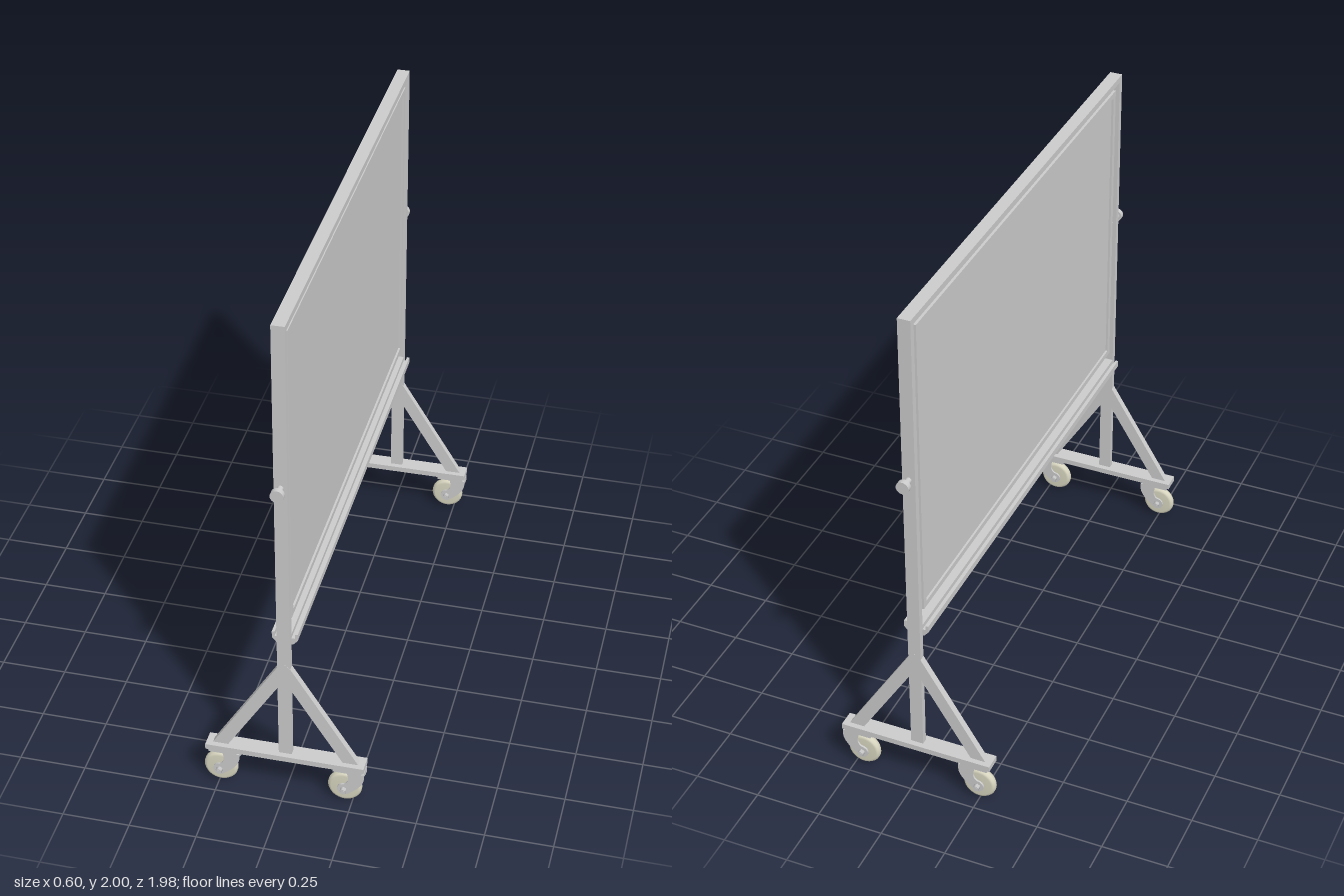
import * as THREE from 'three';

const grey = new THREE.MeshStandardMaterial({ color: 0xcccccc });
const tyre = new THREE.MeshStandardMaterial({ color: 0xd8d6c0 });

function add(parent, name, geometry, x = 0, y = 0, z = 0, material = grey) {
  const mesh = new THREE.Mesh(geometry, material);
  mesh.name = name;
  mesh.position.set(x, y, z);
  parent.add(mesh);
  return mesh;
}

const box = (w, h, d) => new THREE.BoxGeometry(w, h, d);
// cylinder lying along z
const rod = (r, length, sides = 24) => new THREE.CylinderGeometry(r, r, length, sides).rotateX(Math.PI / 2);

// extrude an (x, y) outline along z, centred on z = 0
function slab(shape, depth) {
  return new THREE.ExtrudeGeometry(shape, { depth, bevelEnabled: false, curveSegments: 10 })
    .translate(0, 0, -depth / 2);
}

const polygon = (points) => new THREE.Shape(points.map(([x, y]) => new THREE.Vector2(x, y)));

// rectangular ring in the (z, y) plane with its thickness along x
function ring(width, height, border, thickness) {
  const w = width / 2, h = height / 2, a = w - border, b = h - border;
  const shape = polygon([[-w, -h], [w, -h], [w, h], [-w, h]]);
  shape.holes.push(new THREE.Path([[-a, -b], [-a, b], [a, b], [a, -b]].map(([x, y]) => new THREE.Vector2(x, y))));
  return slab(shape, thickness).rotateY(Math.PI / 2);
}

// caster with its wheel centred on x = 0 and the swivel offset towards +x
function caster() {
  const group = new THREE.Group();
  group.name = 'caster';
  const axleY = 0.063;
  add(group, 'mountingPlate', box(0.105, 0.012, 0.062), 0.008 + 0.005, 0.15, 0);
  add(group, 'forkCrown', box(0.06, 0.01, 0.056), 0.044, 0.14, 0);

  // curved fork prongs
  const prong = new THREE.Shape();
  prong.moveTo(0.012, 0.145);
  prong.quadraticCurveTo(0.026, 0.1, 0, axleY + 0.024);
  prong.absarc(0, axleY, 0.024, Math.PI / 2, Math.PI * 1.75, false);
  prong.quadraticCurveTo(0.075, 0.09, 0.075, 0.125);
  prong.lineTo(0.075, 0.145);
  for (const s of [-1, 1]) {
    add(group, 'forkProng', slab(prong, 0.007), 0, 0, s * 0.0245);
    add(group, 'axleNut', rod(0.012, 0.016, 6), 0, axleY, s * 0.036);
  }
  add(group, 'axle', rod(0.007, 0.09, 12), 0, axleY, 0);

  // wheel with a rounded tread
  const profile = [[0.008, -0.016], [0.05, -0.016], [0.058, -0.013], [0.063, -0.005],
    [0.063, 0.005], [0.058, 0.013], [0.05, 0.016], [0.008, 0.016]]
    .map(([r, y]) => new THREE.Vector2(r, y));
  add(group, 'wheel', new THREE.LatheGeometry(profile, 32).rotateX(Math.PI / 2), 0, axleY, 0, tyre);
  return group;
}

// one end of the stand: post, foot, braces, casters and pivot knob
function endStand(side) {
  const group = new THREE.Group();
  group.name = side > 0 ? 'frontEnd' : 'backEnd';
  const z = side * 0.925;
  add(group, 'post', box(0.048, 1.825, 0.024), 0, 1.0875, z);
  add(group, 'footBar', box(0.59, 0.022, 0.066), 0, 0.166, z);

  for (const s of [-1, 1]) {
    const outline = [[0, 0.595], [0.024, 0.575], [0.272, 0.175], [0.215, 0.175], [0, 0.52]];
    const points = outline.map(([x, y]) => [s * x, y]);
    add(group, 'brace', slab(polygon(points), 0.026), 0, 0, z);
  }
  for (const x of [-0.245, 0.22]) {
    const wheel = caster();
    wheel.position.set(x, 0, z);
    group.add(wheel);
  }

  add(group, 'pivotRod', rod(0.011, 0.1), 0, 1.36, side * 0.928);
  add(group, 'pivotKnob', rod(0.024, 0.02), 0, 1.36, side * 0.979);
  add(group, 'pivotCollar', rod(0.016, 0.01), 0, 1.36, side * 0.964);
  return group;
}

export function createModel() {
  const model = new THREE.Group();
  model.name = 'rollingBoard';

  for (const side of [-1, 1]) model.add(endStand(side));
  add(model, 'topRail', box(0.048, 0.024, 1.826), 0, 1.988, 0);

  // pivoting board
  const board = new THREE.Group();
  board.name = 'board';
  board.position.y = 1.361;
  add(board, 'boardFrame', ring(1.774, 1.186, 0.022, 0.038));
  add(board, 'boardPanel', box(0.022, 1.146, 1.734));
  model.add(board);

  // bottom rail with a shallow trough along each face
  const half = [[0.03, 0.672], [0.047, 0.692], [0.047, 0.718], [0.037, 0.718],
    [0.037, 0.7], [0.024, 0.7], [0.024, 0.718]];
  const outline = [...half, ...half.map(([x, y]) => [-x, y]).reverse()];
  add(model, 'trayRail', slab(polygon(outline), 1.83));

  return model;
}
